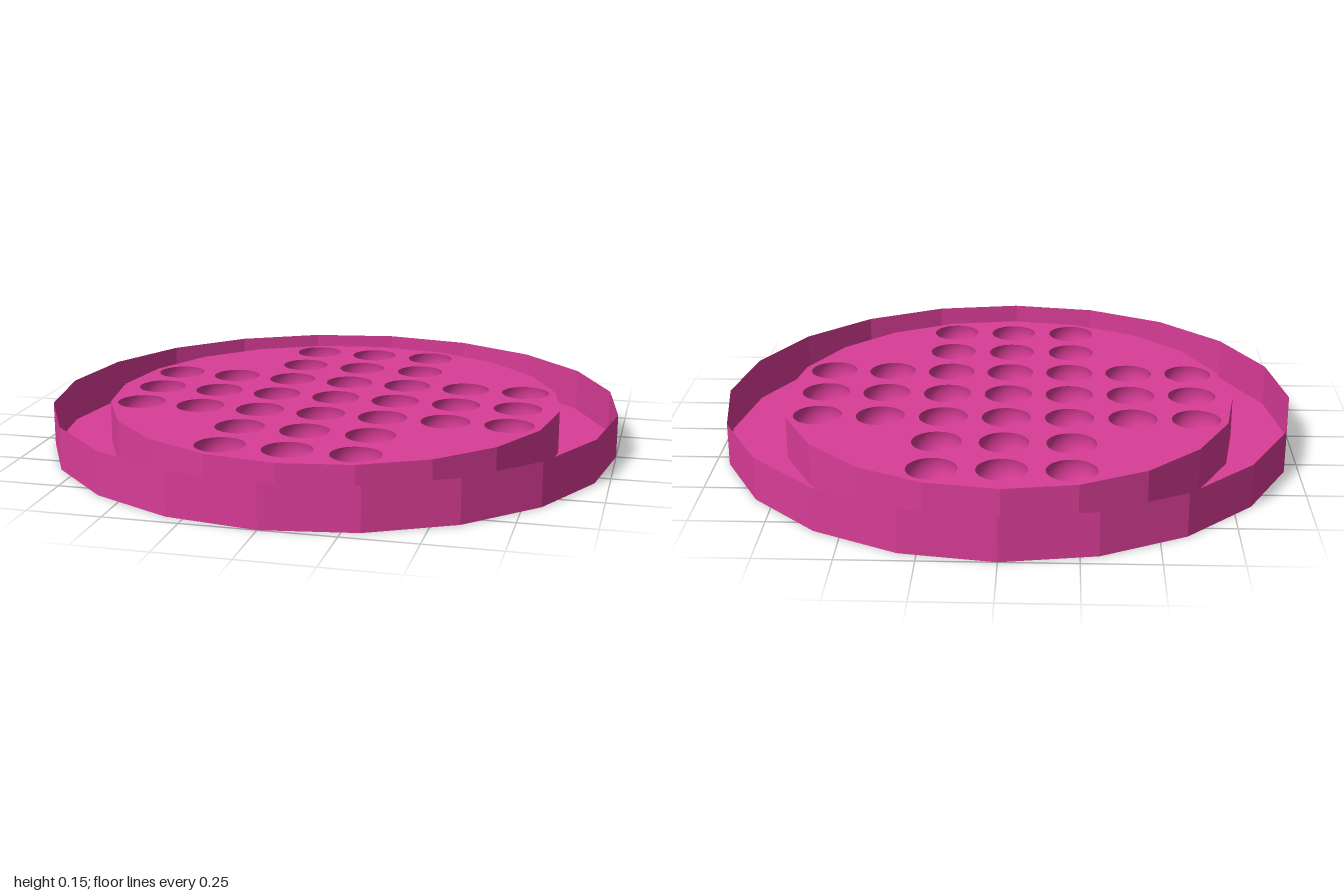
import * as THREE from 'three';

const SIDES = 20, HEIGHT = 0.15, OUTER = 1, INNER = 0.8;
const STEP = 0.218, ARM_STEP = 0.225;          // hole spacing in the cross
const BOWL_R = 0.088, BOWL_DROP = 0.025;       // bowl radius, centre below the deck
const HOLE_R = Math.sqrt(BOWL_R ** 2 - BOWL_DROP ** 2);
const BOWL_SEGS = 28;

// points of a regular polygon
function ring(cx, cy, r, n) {
  return Array.from({ length: n }, (_, i) => {
    const a = (i / n) * Math.PI * 2;
    return new THREE.Vector2(cx + r * Math.cos(a), cy + r * Math.sin(a));
  });
}

// the 33 hole centres of the cross layout
function holeCentres() {
  const out = [];
  for (let row = -3; row <= 3; row++) {
    for (let col = -3; col <= 3; col++) {
      if (Math.abs(row) > 1 && Math.abs(col) > 1) continue;
      const dx = Math.abs(row) > 1 ? ARM_STEP : STEP;
      out.push([col * dx, row * STEP]);
    }
  }
  return out;
}

export function createModel() {
  const group = new THREE.Group();
  group.name = 'pegBoard';
  const color = 0xd83c96;
  const faceted = new THREE.MeshStandardMaterial({ color, flatShading: true, side: THREE.DoubleSide });
  const smooth = new THREE.MeshStandardMaterial({ color, side: THREE.DoubleSide });

  const add = (name, geometry, material) => {
    const mesh = new THREE.Mesh(geometry, material);
    mesh.name = name;
    group.add(mesh);
    return mesh;
  };

  // thin walls: outer rim, groove floor and side of the raised deck
  const wall = (name, ...pts) =>
    add(name, new THREE.LatheGeometry(pts.map(p => new THREE.Vector2(...p)), SIDES), faceted);
  wall('outerRim', [OUTER, 0], [OUTER, HEIGHT]);
  wall('grooveFloor', [INNER, 0], [OUTER, 0]);
  wall('deckSide', [INNER, 0], [INNER, HEIGHT]);

  // deck with round holes
  const centres = holeCentres();
  const shape = new THREE.Shape(ring(0, 0, INNER, SIDES));
  for (const [x, z] of centres) {
    shape.holes.push(new THREE.Path(ring(x, -z, HOLE_R, BOWL_SEGS).reverse()));
  }
  const deck = new THREE.ShapeGeometry(shape);
  deck.rotateX(-Math.PI / 2);
  deck.translate(0, HEIGHT, 0);
  add('deck', deck, faceted);

  // round bowls hanging below the holes
  const start = Math.acos(BOWL_DROP / BOWL_R);
  const bowl = new THREE.SphereGeometry(BOWL_R, BOWL_SEGS, 14, 0, Math.PI * 2, start, Math.PI - start);
  for (const [x, z] of centres) {
    add('marbleBowl', bowl, smooth).position.set(x, HEIGHT - BOWL_DROP, z);
  }
  return group;
}
